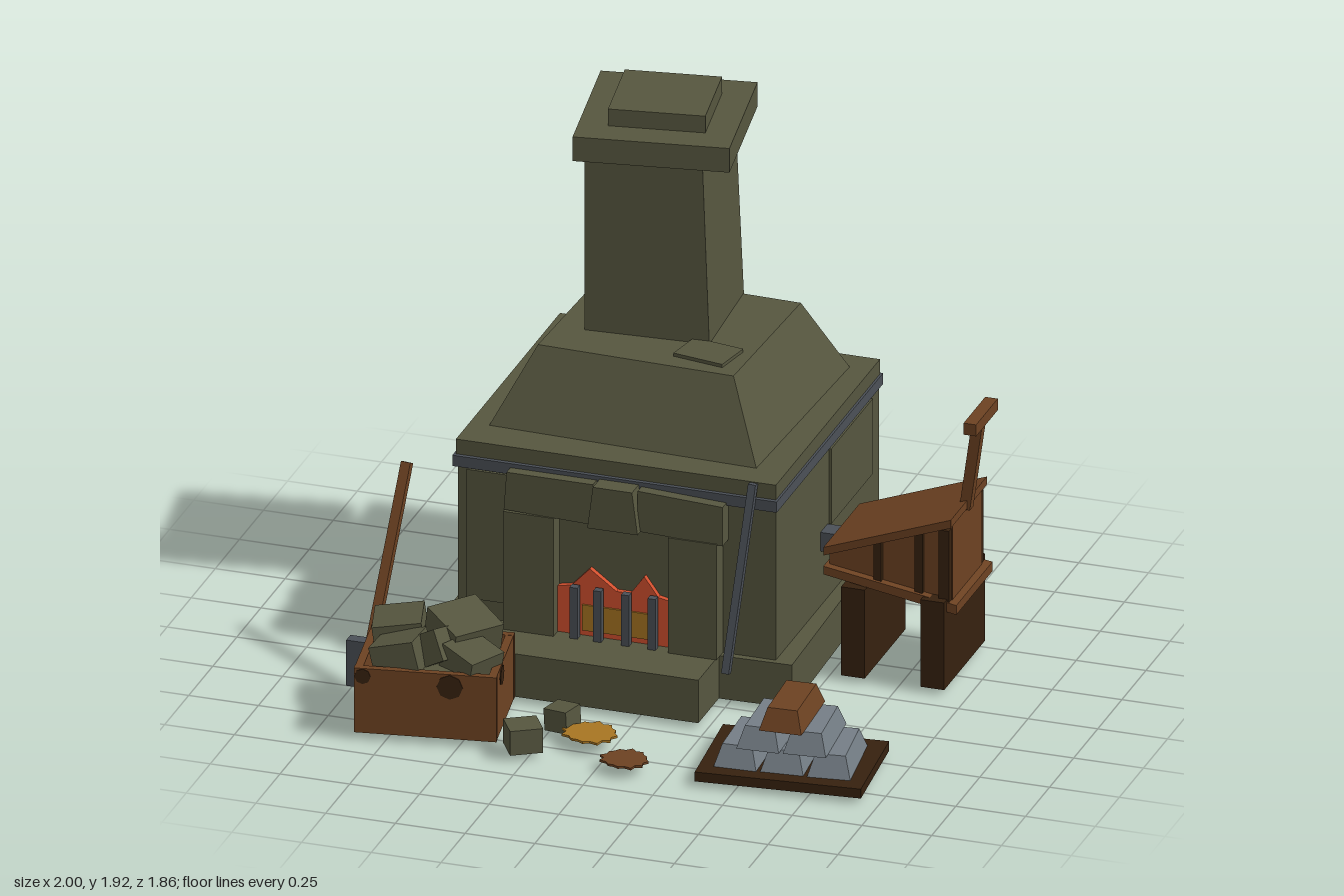
import * as THREE from 'three';

const mat = (name, color) => {
  const m = new THREE.MeshStandardMaterial({ color, side: THREE.DoubleSide, flatShading: true });
  m.name = name;
  return m;
};

export function createModel() {
  const root = new THREE.Group();
  root.name = 'forge';
  const stone = mat('stone', 0x56563f), wood = mat('wood', 0x6d4222), darkWood = mat('dark wood', 0x36210f);
  const iron = mat('iron', 0x4b5057), ingot = mat('ingot metal', 0x757e86);
  const fire = mat('fire', 0xd2502f), amber = mat('amber', 0xa87522);

  const add = (name, geo, m, pos = [0, 0, 0], rot = [0, 0, 0], parent = root) => {
    const mesh = new THREE.Mesh(geo, m);
    mesh.name = name;
    mesh.position.set(...pos);
    mesh.rotation.set(...rot);
    parent.add(mesh);
    return mesh;
  };
  // box given by its limits on each axis
  const span = (name, m, x0, x1, y0, y1, z0, z1, parent) =>
    add(name, new THREE.BoxGeometry(x1 - x0, y1 - y0, z1 - z0), m,
      [(x0 + x1) / 2, (y0 + y1) / 2, (z0 + z1) / 2], [0, 0, 0], parent);
  // box standing on y = 0 with a different top size and shift
  const taper = (w0, d0, w1, d1, h, dx = 0, dz = 0) => {
    const g = new THREE.BoxGeometry(w0, h, d0).translate(0, h / 2, 0), p = g.attributes.position;
    for (let i = 0; i < p.count; i++) if (p.getY(i) > h / 2) {
      p.setX(i, p.getX(i) * w1 / w0 + dx);
      p.setZ(i, p.getZ(i) * d1 / d0 + dz);
    }
    g.computeVertexNormals();
    return g;
  };
  // flat outline pulled out along z
  const slab = (pts, depth) => new THREE.ExtrudeGeometry(
    new THREE.Shape(pts.map(p => new THREE.Vector2(...p))), { depth, bevelEnabled: false });
  // bar or spike from a to b
  const bar = (name, m, a, b, geo) => {
    const A = new THREE.Vector3(...a), B = new THREE.Vector3(...b), d = B.clone().sub(A);
    const mesh = add(name, geo(d.length()), m, A.clone().add(B).multiplyScalar(0.5).toArray());
    mesh.quaternion.setFromUnitVectors(new THREE.Vector3(0, 1, 0), d.normalize());
  };
  const square = t => l => new THREE.BoxGeometry(t, l, t);

  // plinth, open underneath
  const plinth = new THREE.BoxGeometry(1.25, 0.16, 1.165), idx = [...plinth.index.array];
  plinth.setIndex([...idx.slice(0, 18), ...idx.slice(24)]);
  plinth.clearGroups();
  add('plinth', plinth, stone, [-0.16, 0.1, -0.345], [0, 0.026, 0]);
  span('hearthStep', stone, -0.54, 0.22, 0.02, 0.18, 0.2, 0.44);

  // furnace body with iron band and rim
  span('body', stone, -0.725, 0.415, 0.175, 0.76, -0.87, 0.2);
  span('ironBand', iron, -0.738, 0.425, 0.74, 0.78, -0.885, 0.22);
  span('rim', stone, -0.73, 0.417, 0.78, 0.835, -0.875, 0.205);
  span('frontPanel', stone, -0.69, -0.53, 0.25, 0.73, 0.2, 0.209);
  span('sidePanel', stone, 0.415, 0.424, 0.45, 0.73, -0.78, -0.35);

  // hood and chimney
  add('hood', taper(0.97, 0.88, 0.71, 0.635, 0.27), stone, [-0.16, 0.835, -0.36], [0, -0.035, 0]);
  add('chimney', taper(0.44, 0.435, 0.415, 0.415, 0.69, -0.013, 0.008), stone, [-0.21, 1.1, -0.45], [0, 0.06, 0]);
  add('chimneyCap', new THREE.BoxGeometry(0.54, 0.09, 0.545), stone, [-0.205, 1.815, -0.445], [0, 0.157, 0]);
  add('chimneyTop', new THREE.BoxGeometry(0.335, 0.065, 0.325), stone, [-0.205, 1.89, -0.445], [0, 0.157, 0]);
  add('looseSlab', new THREE.BoxGeometry(0.19, 0.02, 0.145), stone, [0.045, 1.107, -0.17], [0, -0.18, 0]);

  // stone surround of the fire opening
  span('leftPillar', stone, 0.05, 0.225, 0.18, 0.61, 0.19, 0.265);
  span('rightPillar', stone, -0.54, -0.36, 0.18, 0.62, 0.19, 0.265);
  add('rightLintel', slab([[-0.54, 0.625], [-0.22, 0.615], [-0.22, 0.765], [-0.53, 0.765]], 0.07), stone, [0, 0, 0.19]);
  add('leftLintel', slab([[-0.06, 0.615], [0.245, 0.605], [0.245, 0.75], [-0.06, 0.765]], 0.07), stone, [0, 0, 0.19]);
  add('keystone', slab([[-0.23, 0.615], [-0.05, 0.615], [-0.07, 0.77], [-0.21, 0.77]], 0.1), stone, [0, 0, 0.19]);

  // fire behind the grate
  add('flames', slab([[-0.36, 0.18], [0.05, 0.18], [0.05, 0.35], [0, 0.36], [-0.05, 0.43], [-0.1, 0.36],
    [-0.15, 0.36], [-0.245, 0.43], [-0.31, 0.36], [-0.36, 0.35]], 0.025), fire, [0, 0, 0.195]);
  span('embers', amber, -0.27, -0.02, 0.2, 0.295, 0.2, 0.227);
  for (const x of [-0.29, -0.205, -0.105, -0.01]) span('grateBar', iron, x - 0.014, x + 0.014, 0.18, 0.37, 0.232, 0.26);

  // bellows on two slab legs
  const bellows = new THREE.Group();
  bellows.name = 'bellows';
  root.add(bellows);
  const board = (name, m, pts, z0, z1) => add(name, slab(pts, z1 - z0), m, [0, 0, z0], [0, 0, 0], bellows);
  board('bellowsBody', wood, [[0.49, 0.4], [0.93, 0.32], [0.93, 0.62], [0.49, 0.46]], -0.45, -0.14);
  board('bellowsTop', wood, [[0.478, 0.445], [0.935, 0.615], [0.935, 0.645], [0.478, 0.475]], -0.485, -0.11);
  board('bellowsBottom', wood, [[0.478, 0.375], [0.955, 0.295], [0.955, 0.33], [0.478, 0.405]], -0.485, -0.11);
  for (const [x, lo, hi] of [[0.667, 0.36, 0.53], [0.815, 0.34, 0.585]])
    board('bellowsRib', darkWood, [[x - 0.014, lo], [x + 0.014, lo], [x + 0.014, hi], [x - 0.014, hi]], -0.468, -0.122);
  span('bellowsRearRib', darkWood, 0.89, 0.927, 0.33, 0.6, -0.475, -0.115, bellows);
  span('nozzle', iron, 0.41, 0.49, 0.385, 0.455, -0.337, -0.263, bellows);
  span('innerLeg', darkWood, 0.55, 0.635, 0.02, 0.35, -0.51, -0.085, bellows);
  span('outerLeg', darkWood, 0.835, 0.92, 0.02, 0.345, -0.51, -0.085, bellows);
  bar('bellowsHandle', wood, [0.925, 0.61, -0.3], [0.972, 0.95, -0.3], square(0.038));
  span('handleGrip', wood, 0.955, 1, 0.935, 0.978, -0.41, -0.185, bellows);

  // crate of rubble
  const crate = new THREE.Group();
  crate.name = 'crate';
  crate.position.set(-0.645, 0, 0.675);
  crate.rotation.y = 0.163;
  root.add(crate);
  for (const s of [-1, 1]) {
    span('crateLongWall', wood, -0.245, 0.245, 0.025, 0.265, s * 0.175 - 0.0125, s * 0.175 + 0.0125, crate);
    span('crateEndWall', wood, s * 0.23 - 0.014, s * 0.23 + 0.014, 0.025, 0.264, -0.17, 0.17, crate);
  }
  span('crateFloor', wood, -0.24, 0.24, 0.027, 0.045, -0.18, 0.18, crate);
  const knot = r => new THREE.CylinderGeometry(r, r, 0.006, 8);
  add('knot', knot(0.045), darkWood, [0.085, 0.218, 0.188], [Math.PI / 2, 0, 0], crate);
  add('knot', knot(0.028), darkWood, [-0.215, 0.236, 0.188], [Math.PI / 2, 0, 0], crate);
  add('knot', knot(0.035), darkWood, [0.245, 0.228, 0.08], [0, 0, Math.PI / 2], crate);
  // x, y, z, size, turn
  [[-0.13, 0.29, -0.08, 0.17, 0.1], [0.09, 0.31, -0.06, 0.19, 0.7], [-0.1, 0.28, 0.08, 0.16, -0.15],
    [0.14, 0.27, 0.08, 0.15, 0.9], [0.01, 0.29, 0.03, 0.15, -0.5], [0.03, 0.2, 0, 0.3, 0]]
    .forEach(([x, y, z, s, r], i) => add('rubble', new THREE.BoxGeometry(s, s * 0.75, s), stone,
      [x, y - (i === 5 ? 0.06 : 0), z], i === 5 ? [0, 0, 0] : [r * 0.4, r, 0.18 - r * 0.5], crate));

  // rubble and scraps on the ground
  add('groundRubble', new THREE.BoxGeometry(0.09, 0.08, 0.09), stone, [-0.2, 0.065, 0.635], [0, -0.25, 0.06]);
  add('groundRubble', new THREE.BoxGeometry(0.115, 0.09, 0.11), stone, [-0.275, 0.067, 0.825], [0, 0.55, 0]);
  const scrap = (m, x, y, z, r) => {
    const pts = Array.from({ length: 24 }, (_, i) => {
      const a = i * Math.PI / 12, k = r * (i % 2 ? 0.86 : 1 + 0.08 * Math.sin(i * 2.3));
      return [Math.cos(a) * k, Math.sin(a) * k * 0.9];
    });
    add('scrap', slab(pts, 0.008), m, [x, y, z], [-Math.PI / 2, 0, 0]);
  };
  scrap(amber, -0.08, 0.043, 0.69, 0.097);
  scrap(wood, 0.095, 0.037, 0.84, 0.085);

  // tray with a pyramid of ingots
  const tray = new THREE.Group();
  tray.name = 'ingotTray';
  tray.position.set(0.633, 0, 0.664);
  tray.rotation.y = 0.09;
  root.add(tray);
  span('trayBoard', darkWood, -0.29, 0.29, 0.02, 0.055, -0.2, 0.2, tray);
  for (let row = 0; row < 3; row++)
    for (let i = 0; i < 3 - row; i++)
      add('ingot', taper(0.15, 0.29, 0.105, 0.23, 0.076), row === 2 ? wood : ingot,
        [(i - (2 - row) / 2) * 0.158, 0.055 + row * 0.076, 0], [0, (i - 1) * 0.04, 0], tray);

  // sledgehammer and poker
  bar('hammerHandle', wood, [-0.94, 0.08, 0.53], [-0.9, 0.73, 0.22], square(0.034));
  add('hammerHead', new THREE.BoxGeometry(0.13, 0.17, 0.045), iron, [-0.935, 0.115, 0.54]);
  bar('poker', iron, [0.29, 0.18, 0.355], [0.34, 0.835, 0.22], square(0.027));

  // dry weed
  [[0.59, 0.18, -0.925], [0.7, 0.16, -0.79], [0.635, 0.17, -0.685], [0.53, 0.21, -0.69], [0.51, 0.13, -0.79]]
    .forEach((tip, i) => bar('weedBlade', i % 2 ? darkWood : wood, [0.58, 0.01, -0.78], tip,
      l => new THREE.ConeGeometry(0.018, l, 3)));

  return root;
}
